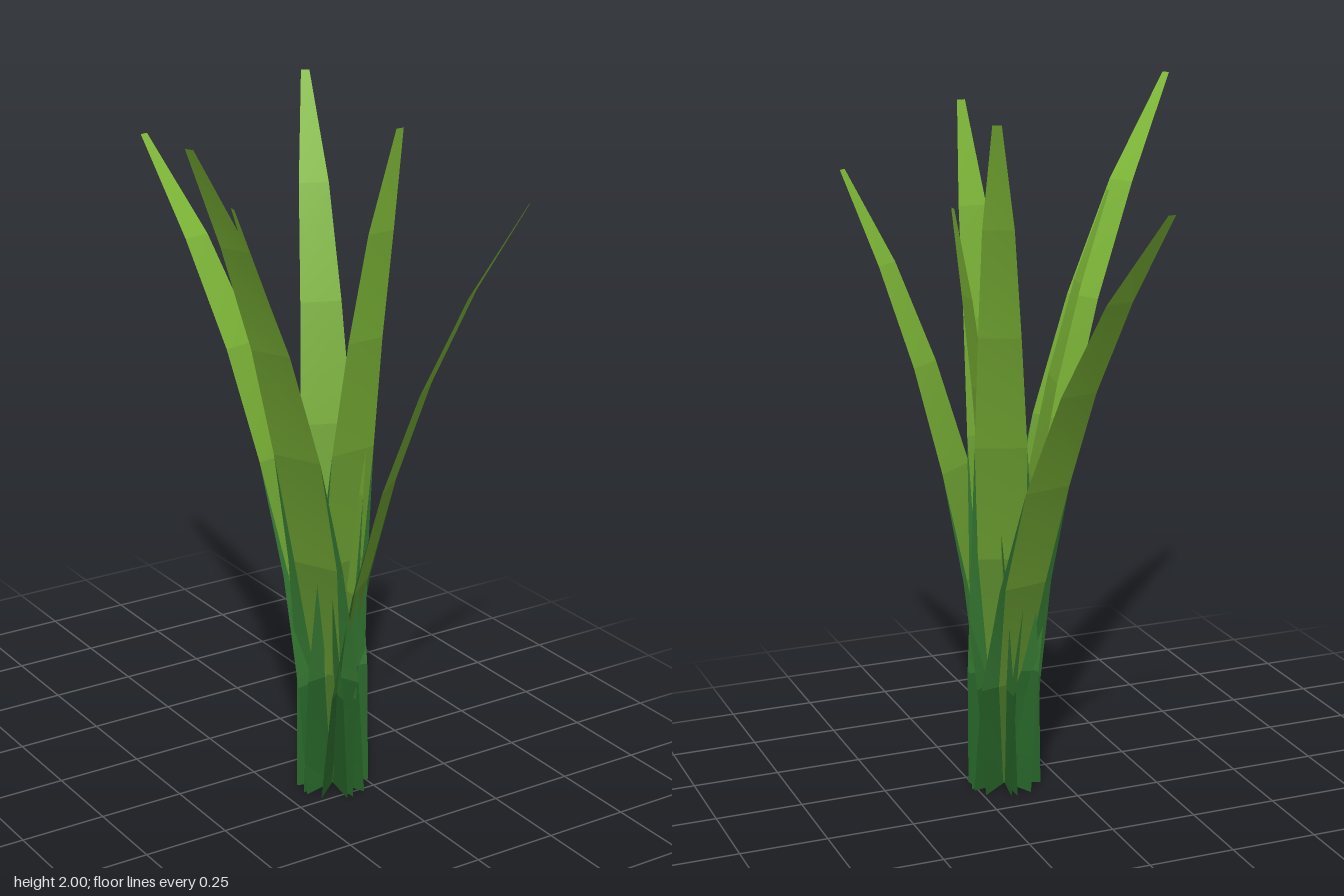
import * as THREE from 'three';

// Sheath colours for the lower edges, then one colour per band of the blade
const colors = [
  ['sheathRootGreen', 0x276529], ['sheathGreen', 0x347631],
  ['rootOlive', 0x4c7c2c], ['lowerOlive', 0x5f902f], ['middleGreen', 0x6c9f31],
  ['leafGreen', 0x74a933], ['upperGreen', 0x7ab236], ['tipGreen', 0x80ba38],
];

// Blade width at each row from root to tip, and the share of it inside the sheath edges
const widths = [0.21, 0.205, 0.175, 0.145, 0.117, 0.085, 0.024];
const inner = [0.04, 0.42, 0.78, 1, 1, 1, 1];

// All blades cross at one root; each has its tip x, z and height
const root = { x: 0.16, z: 0.172 };
const blades = {
  backBlade: [-0.01, -0.575, 1.78],
  backLeftBlade: [0.33, -0.26, 1.98],
  rightBlade: [-0.14, 0.12, 1.73],
  frontRightBlade: [-0.48, 0.48, 2.0],
  frontBlade: [0.18, 0.41, 1.96],
  frontLeftBlade: [0.48, 0.57, 1.76],
  leftBlade: [0.295, 0.172, 1.70],
};

// A flat tapering strip that bends outwards, with sheath edges on its lower half
function bladeGeometry([tipX, tipZ, height]) {
  const dx = tipX - root.x, dz = tipZ - root.z, reach = Math.hypot(dx, dz);
  const sideX = -dz / reach, sideZ = dx / reach;
  const rows = widths.length - 1;
  const positions = [], index = [];
  const geometry = new THREE.BufferGeometry();

  const addCell = (row, column, material) => {
    const a = row * 4 + column, b = a + 4;
    geometry.addGroup(index.length, 6, material);
    index.push(a, a + 1, b + 1, a, b + 1, b);
  };

  widths.forEach((width, i) => {
    const t = i / rows, bend = 0.82 * t * t + 0.18 * t;
    const y = height * (1.08 * t - 0.08 * t ** 3);
    for (const s of [-1, -inner[i], inner[i], 1]) {
      const offset = s * width / 2;
      positions.push(root.x + dx * bend + sideX * offset, y, root.z + dz * bend + sideZ * offset);
    }
    if (i < rows) addCell(i, 1, i + 2);
    if (inner[i] < 1) {
      const sheath = Math.min(i, 1);
      addCell(i, 0, sheath);
      addCell(i, 2, sheath);
    }
  });
  geometry.setAttribute('position', new THREE.Float32BufferAttribute(positions, 3));
  geometry.setIndex(index);
  geometry.computeVertexNormals();
  return geometry;
}

export function createModel() {
  const group = new THREE.Group();
  group.name = 'grassTuft';
  const materials = colors.map(([name, color]) => {
    const material = new THREE.MeshStandardMaterial({ color, side: THREE.DoubleSide });
    material.name = name;
    return material;
  });
  for (const [name, shape] of Object.entries(blades)) {
    const blade = new THREE.Mesh(bladeGeometry(shape), materials);
    blade.name = name;
    group.add(blade);
  }
  return group;
}
